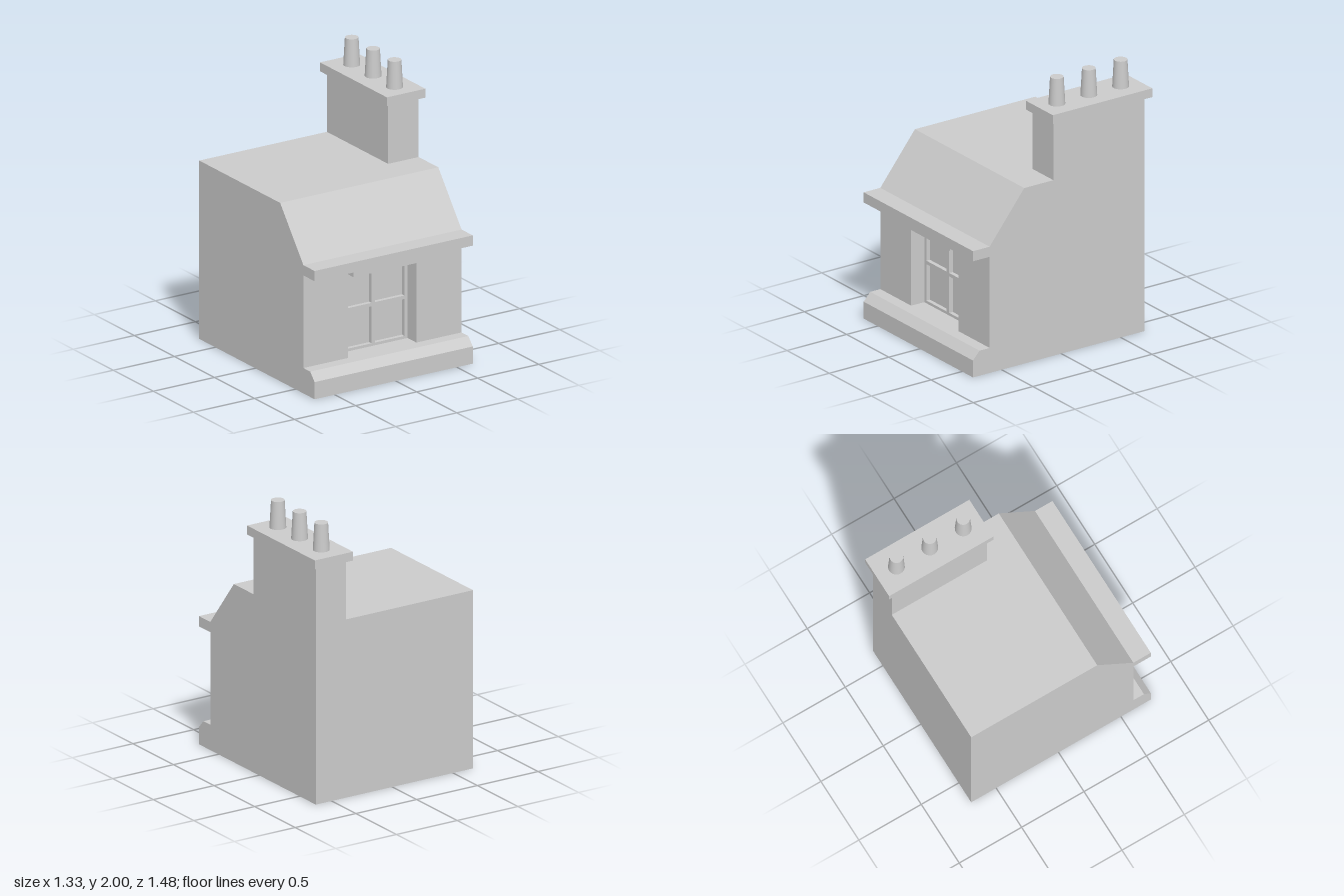
import * as THREE from 'three';

const LEFT = 0.63, RIGHT = -0.665;      // side walls
const PANE = 0.46, FRONT = 0.6;         // depth of glazing and of front wall

export function createModel() {
  const group = new THREE.Group();
  const flat = new THREE.MeshStandardMaterial({ color: 0xcccccc, flatShading: true });
  const smooth = new THREE.MeshStandardMaterial({ color: 0xcccccc });

  const add = (name, geometry, material = flat) => {
    const mesh = new THREE.Mesh(geometry, material);
    mesh.name = name;
    group.add(mesh);
    return mesh;
  };
  const polygon = (pts) => new THREE.Shape(pts.map(([a, b]) => new THREE.Vector2(a, b)));
  const rect = (x0, x1, y0, y1) => [[x0, y0], [x1, y0], [x1, y1], [x0, y1]];
  const box = (name, x0, x1, y0, y1, z0, z1) =>
    add(name, new THREE.BoxGeometry(x1 - x0, y1 - y0, z1 - z0)
      .translate((x0 + x1) / 2, (y0 + y1) / 2, (z0 + z1) / 2));

  // side profile [z, y] run across the full width
  const runAcross = (name, pts) =>
    add(name, new THREE.ExtrudeGeometry(polygon(pts), { depth: LEFT - RIGHT, bevelEnabled: false })
      .rotateY(-Math.PI / 2).translate(LEFT, 0, 0));

  // front panel with rectangular openings
  const panel = (name, outer, openings, z0, z1) => {
    const shape = polygon(rect(...outer));
    for (const o of openings) shape.holes.push(polygon(rect(...o)));
    add(name, new THREE.ExtrudeGeometry(shape, { depth: z1 - z0, bevelEnabled: false })
      .translate(0, 0, z0));
  };

  // house body with sloping front roof
  runAcross('houseBody', [[-0.7, 0], [PANE, 0], [PANE, 0.935], [FRONT, 0.935],
    [0.31, 1.3], [-0.7, 1.3]]);

  // front wall and recessed window
  const opening = [-0.3, 0.26, 0.185, 0.792];
  panel('frontWall', [RIGHT, LEFT, 0, 0.935], [opening], PANE, FRONT);
  const panes = [];
  for (const [x0, x1] of [[-0.275, -0.035], [-0.005, 0.235]])
    for (const [y0, y1] of [[0.205, 0.475], [0.5, 0.77]]) panes.push([x0, x1, y0, y1]);
  panel('windowFrame', opening, panes, PANE, 0.49);

  // front mouldings
  runAcross('plinth', [[FRONT, 0], [0.74, 0], [0.74, 0.125], [0.685, 0.185], [FRONT, 0.185]]);
  runAcross('cornice', rect(FRONT, 0.74, 0.86, 0.935));
  box('lintel', -0.3, 0.26, 0.795, 0.86, FRONT, 0.67);

  // chimney
  box('chimneyStack', 0.38, LEFT, 1.3, 1.735, -0.7, 0.065);
  box('chimneyCap', 0.35, 0.665, 1.735, 1.8, -0.74, 0.095);
  for (const z of [-0.05, -0.318, -0.585])
    add('chimneyPot', new THREE.CylinderGeometry(0.047, 0.058, 0.2, 20), smooth)
      .position.set(0.508, 1.9, z);

  return group;
}
